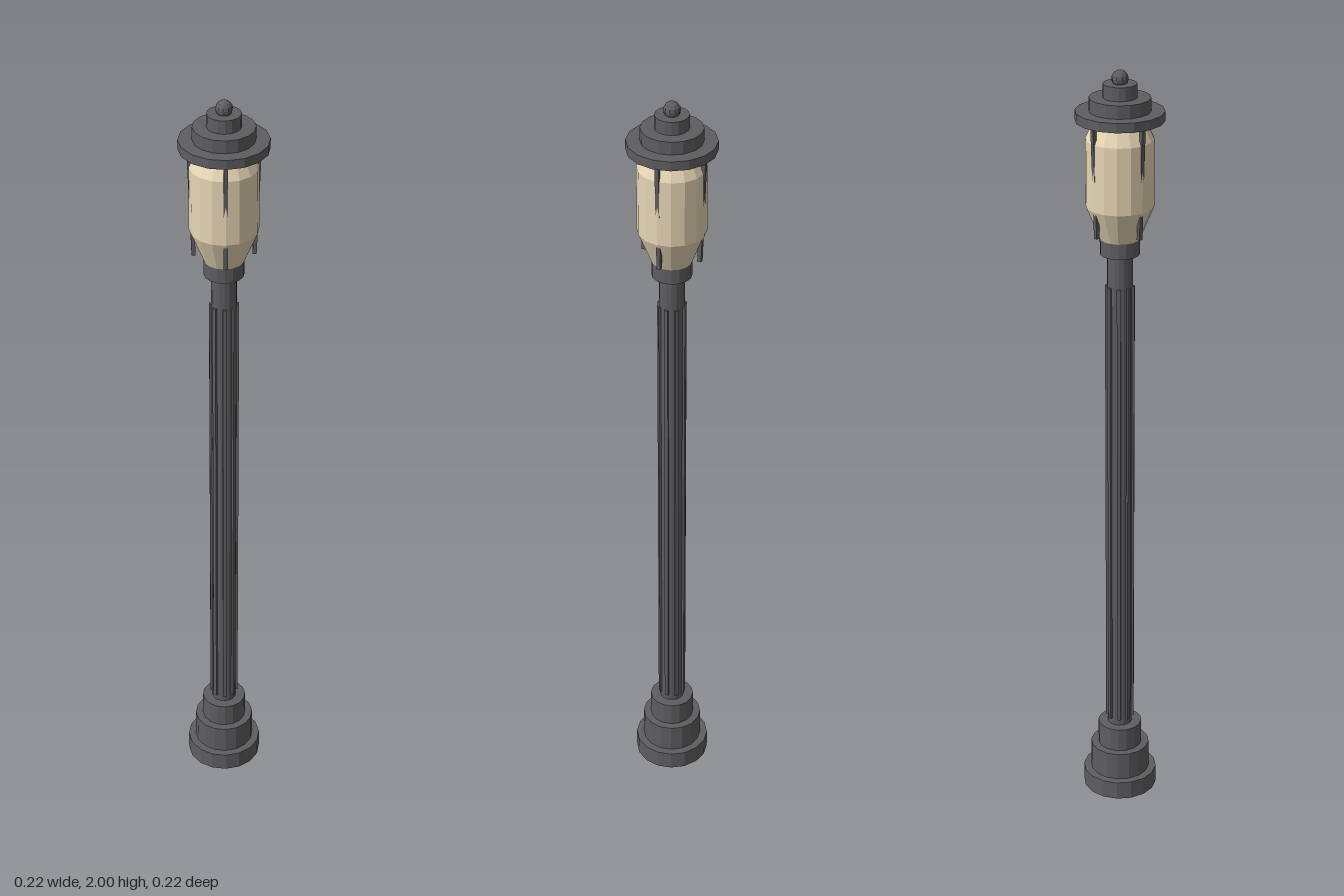
import * as THREE from 'three';

export function createModel() {
  const model = new THREE.Group();
  const iron = new THREE.MeshStandardMaterial({ color: 0x5e5e61, flatShading: true });
  iron.name = 'dark iron';
  const glass = new THREE.MeshStandardMaterial({ color: 0xeddcba, flatShading: true });
  glass.name = 'warm glass';

  const add = (name, geometry, material = iron, parent = model) => {
    const mesh = new THREE.Mesh(geometry, material);
    mesh.name = name;
    parent.add(mesh);
    return mesh;
  };
  // Upright round part between two heights
  const drum = (name, y0, y1, rBottom, rTop = rBottom, material = iron) => {
    const mesh = add(name, new THREE.CylinderGeometry(rTop, rBottom, y1 - y0, 16), material);
    mesh.position.y = (y0 + y1) / 2;
  };

  // Stepped base
  drum('baseFoot', 0, 0.05, 0.098);
  drum('baseMiddle', 0.05, 0.127, 0.078);
  drum('baseTop', 0.127, 0.192, 0.058);

  // Post with raised vertical ribs
  drum('post', 0.19, 1.54, 0.032);
  const ribs = new THREE.Group();
  ribs.name = 'postRibs';
  model.add(ribs);
  for (let i = 0; i < 8; i++) {
    const a = (i / 8) * Math.PI * 2;
    const rib = add('rib', new THREE.BoxGeometry(0.01, 1.24, 0.01), iron, ribs);
    rib.position.set(Math.sin(a) * 0.032, 0.83, Math.cos(a) * 0.032);
    rib.rotation.y = a;
  }

  // Lantern holder and glass
  drum('collar', 1.535, 1.575, 0.05);
  drum('glassLower', 1.575, 1.66, 0.05, 0.085, glass);
  drum('glassMiddle', 1.66, 1.83, 0.085, 0.085, glass);
  drum('glassUpper', 1.83, 1.878, 0.085, 0.062, glass);

  // Four slim struts on the diagonals, leaning out slightly toward the top
  for (let i = 0; i < 4; i++) {
    const pivot = new THREE.Group();
    pivot.name = 'strut';
    pivot.rotation.y = Math.PI / 4 + (i * Math.PI) / 2;
    const bar = add('strutBar', new THREE.BoxGeometry(0.01, 0.29, 0.01), iron, pivot);
    bar.position.set(0, 1.735, 0.079);
    bar.rotation.x = 0.035;
    model.add(pivot);
  }

  // Stepped cap and finial
  drum('capBrim', 1.876, 1.9, 0.11);
  drum('capMiddle', 1.9, 1.933, 0.076);
  drum('capTop', 1.933, 1.967, 0.042);
  add('finial', new THREE.SphereGeometry(0.021, 10, 8)).position.y = 1.979;

  return model;
}
